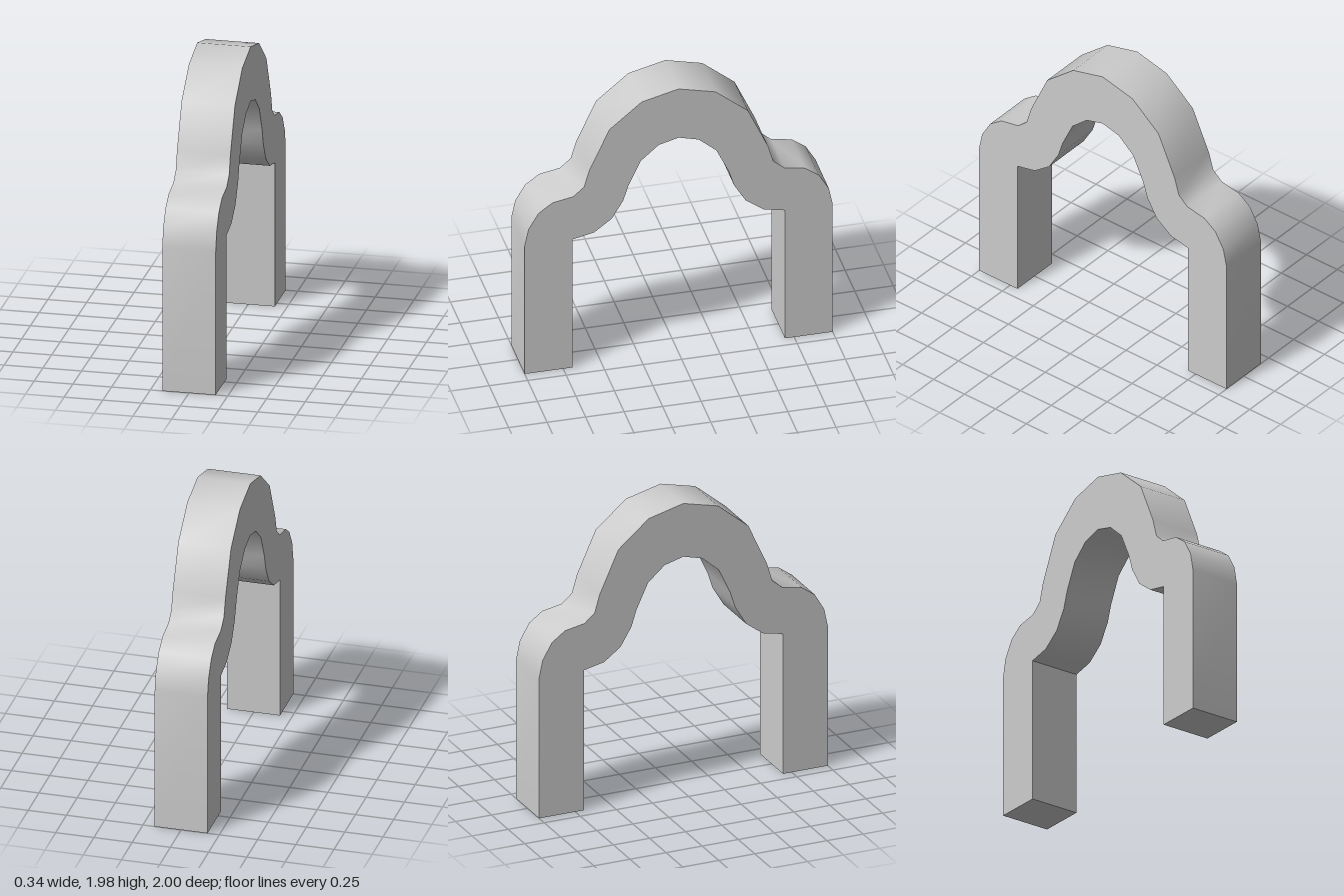
import * as THREE from 'three';
import { toCreasedNormals } from 'three/addons/utils/BufferGeometryUtils.js';

const WIDTH = 0.345;

// Half profile as [z, y]: outer edge from foot to crown, inner edge from crown to foot
const OUTER = [
  [1, 0], [1, 0.96], [0.975, 1.08], [0.91, 1.19], [0.82, 1.255], [0.685, 1.28],
  [0.615, 1.34], [0.58, 1.46], [0.45, 1.745], [0.24, 1.92], [0, 1.98],
];
const INNER = [
  [0, 1.615], [0.13, 1.58], [0.245, 1.48], [0.325, 1.31], [0.36, 1.2],
  [0.435, 1.075], [0.55, 0.99], [0.69, 0.96], [0.69, 0],
];

// The other half, walked in the opposite direction without repeating the crown
const mirrored = (points) => points.filter(([z]) => z > 0).map(([z, y]) => [-z, y]).reverse();

export function createModel() {
  const group = new THREE.Group();
  group.name = 'archway';

  // Closed arch outline: over the outside, back along the inside
  const outline = [...OUTER, ...mirrored(OUTER), ...mirrored(INNER), ...[...INNER]];
  const shape = new THREE.Shape(outline.map(([z, y]) => new THREE.Vector2(z, y)));

  // Extrude across the width and turn the profile into the z-y plane
  const extruded = new THREE.ExtrudeGeometry(shape, { depth: WIDTH, bevelEnabled: false });
  extruded.translate(0, 0, -WIDTH / 2);
  extruded.rotateY(-Math.PI / 2);

  // Smooth along the curve, sharp at the side faces and leg corners
  const arch = new THREE.Mesh(
    toCreasedNormals(extruded, 0.8),
    new THREE.MeshStandardMaterial({ color: 0xcccccc }),
  );
  arch.name = 'arch';
  group.add(arch);
  return group;
}
